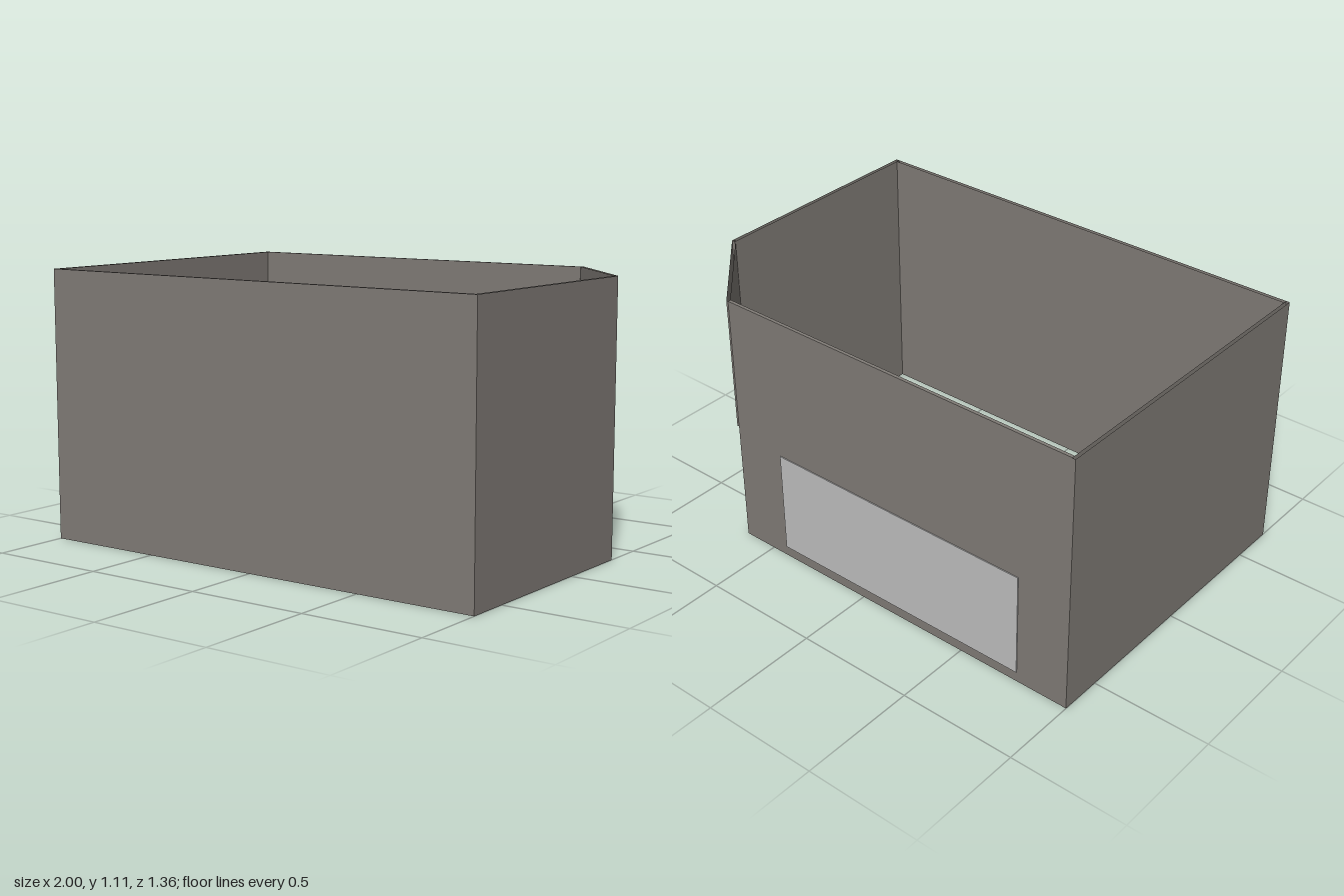
import * as THREE from 'three';

const HEIGHT = 1.105;
const T = 0.015; // wall thickness

// Hollow wall panel: vertical faces over a plan outline of [x, z] corners,
// listed so that the outside is to the right of each edge (top and bottom open).
function panel(name, plan, y0, y1, material) {
  const pos = [];
  plan.forEach(([ax, az], i) => {
    const [bx, bz] = plan[(i + 1) % plan.length];
    pos.push(ax, y0, az, bx, y0, bz, bx, y1, bz);
    pos.push(ax, y0, az, bx, y1, bz, ax, y1, az);
  });
  const geo = new THREE.BufferGeometry();
  geo.setAttribute('position', new THREE.Float32BufferAttribute(pos, 3));
  geo.computeVertexNormals();
  const mesh = new THREE.Mesh(geo, material);
  mesh.name = name;
  return mesh;
}

// Plan rectangle from x0..x1 and z0..z1
const rect = (x0, x1, z0, z1) => [[x0, z1], [x1, z1], [x1, z0], [x0, z0]];

function block(name, x0, x1, y0, y1, z0, z1, material) {
  const mesh = new THREE.Mesh(new THREE.BoxGeometry(x1 - x0, y1 - y0, z1 - z0), material);
  mesh.position.set((x0 + x1) / 2, (y0 + y1) / 2, (z0 + z1) / 2);
  mesh.name = name;
  return mesh;
}

export function createModel() {
  const wall = new THREE.MeshStandardMaterial({ color: 0x807b76, side: THREE.DoubleSide });
  wall.name = 'wall grey';
  const pane = new THREE.MeshStandardMaterial({ color: 0xbfbfbf });
  pane.name = 'window grey';

  const room = new THREE.Group();
  room.name = 'room';

  // Three plain walls
  room.add(panel('frontWall', rect(-1 + T, 1 - T, 0.68 - T, 0.68), 0, HEIGHT, wall));
  room.add(panel('rightHandWall', rect(-1, -1 + T, -0.677, 0.68), 0, HEIGHT, wall));
  room.add(panel('leftHandWall', rect(1 - T, 1, -0.32, 0.68), 0, HEIGHT, wall));

  // Back wall with its window panel standing slightly proud on both sides
  room.add(block('backWall', -1 + T, 0.65, 0, HEIGHT, -0.676, -0.662, wall));
  room.add(block('window', -0.77, 0.42, 0.045, 0.49, -0.68, -0.658, pane));

  // Lintel over the doorway across the cut-off corner
  const lintel = [[0.99, -0.31], [1, -0.32], [0.655, -0.68], [0.645, -0.67]];
  room.add(panel('doorLintel', lintel, 0.535, HEIGHT, wall));

  return room;
}
